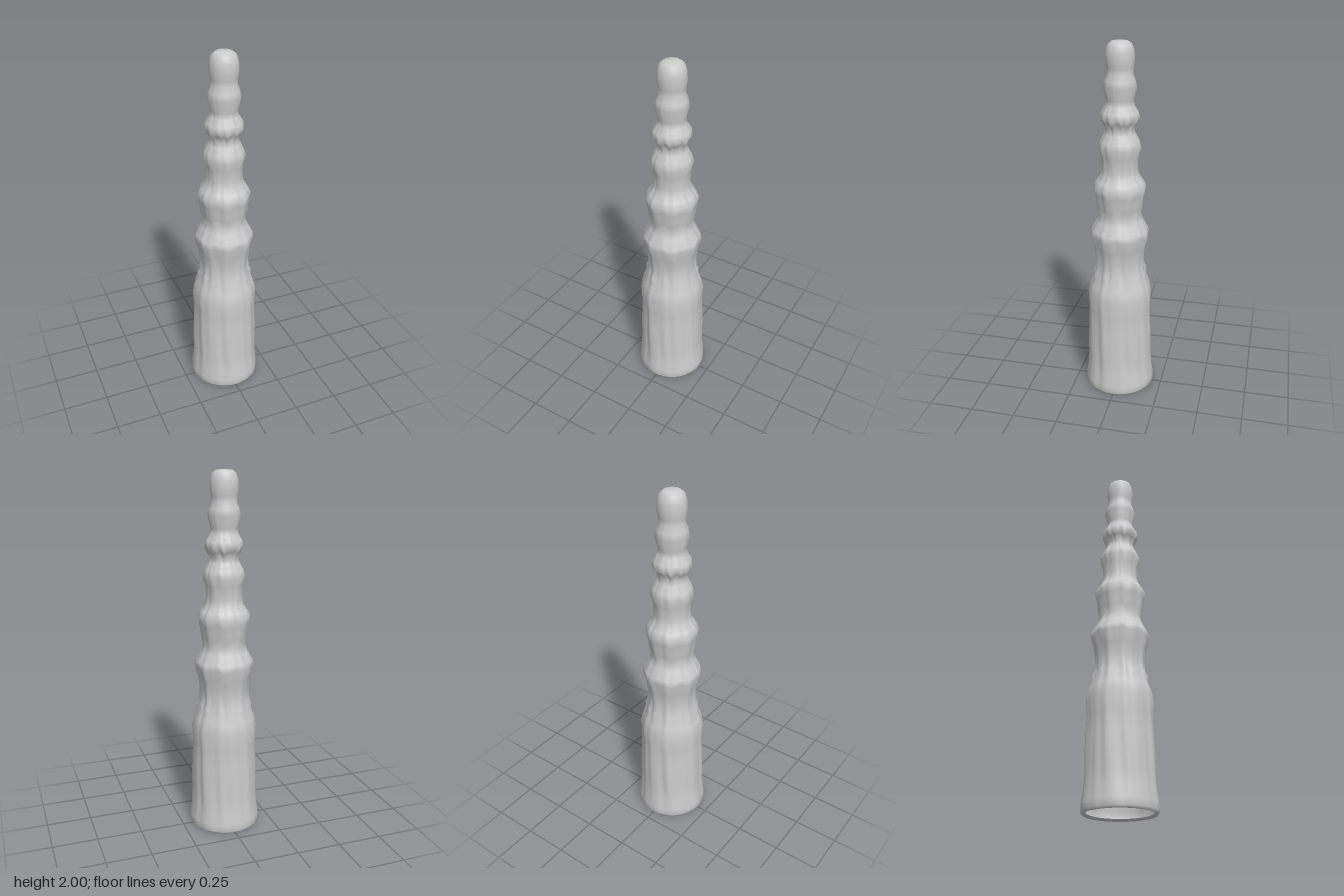
import * as THREE from 'three';
import { mergeVertices } from 'three/addons/utils/BufferGeometryUtils.js';

// Outline from the rolled base rim to the tip: [radius, height, ripple strength]
const PROFILE = [
  [0.172, 0.012, 0.1], [0.188, 0, 0.1], [0.198, 0.012, 0.3], [0.197, 0.05, 0.4], [0.187, 0.12, 0.6],
  [0.182, 0.2, 1], [0.182, 0.3, 1], [0.177, 0.4, 1], [0.174, 0.5, 0.8], [0.18, 0.59, 0.5],
  [0.166, 0.65, 0.5], [0.148, 0.695, 0.9], [0.147, 0.73, 1.2], [0.135, 0.75, 1.2], [0.134, 0.81, 1],
  [0.142, 0.88, 1], [0.161, 0.95, 0.9], [0.155, 0.98, 0.5], [0.128, 1.03, 0.3], [0.114, 1.07, 0.5],
  [0.124, 1.11, 1], [0.128, 1.15, 1], [0.135, 1.19, 1], [0.142, 1.23, 0.6], [0.125, 1.26, 0.4],
  [0.104, 1.29, 0.4], [0.096, 1.33, 0.7], [0.1, 1.4, 0.8], [0.114, 1.445, 0.7], [0.104, 1.48, 0.4],
  [0.083, 1.52, 0.3], [0.074, 1.55, 0.5], [0.09, 1.58, 0.9], [0.104, 1.605, 0.8], [0.098, 1.635, 0.4],
  [0.076, 1.67, 0.3], [0.071, 1.7, 0.4], [0.088, 1.765, 0.4], [0.081, 1.8, 0.3], [0.068, 1.835, 0.3],
  [0.07, 1.865, 0.2], [0.076, 1.9, 0.1], [0.074, 1.945, 0.1], [0.063, 1.98, 0], [0.043, 1.995, 0], [0, 2, 0],
];

// Periodic wobble around the axis; slowly shifts with height, in about -1..1
function wobble(angle, y, seed) {
  return 0.4 * Math.cos(8 * angle + seed + 1.5 * Math.sin(2 * y))
    + 0.35 * Math.cos(13 * angle + 2.1 * seed + 3 * Math.sin(1.7 * y))
    + 0.25 * Math.cos(21 * angle - 1.3 * seed + 2 * y);
}

export function createModel() {
  const group = new THREE.Group();
  group.name = 'taperedSpire';

  // Tiered hollow body, turned around y
  const points = PROFILE.map(([r, y]) => new THREE.Vector2(r, y));
  let geometry = new THREE.LatheGeometry(points, 72);
  const pos = geometry.attributes.position;
  for (let i = 0; i < pos.count; i++) {
    const [r, y, ripple] = PROFILE[i % PROFILE.length];
    if (r === 0) continue;
    const angle = Math.atan2(pos.getX(i), pos.getZ(i));
    // Vertical drip flutes plus ragged edges on each tier
    const radius = r * (1 + 0.038 * ripple * wobble(angle, y, 0.7));
    const sag = y > 0.55 && y < 1.7 ? 0.014 * ripple * wobble(angle, 0.3 * y, 4.2) : 0;
    pos.setXYZ(i, Math.sin(angle) * radius, y + sag, Math.cos(angle) * radius);
  }

  // Weld the seam so the shading runs smoothly around
  geometry.deleteAttribute('uv');
  geometry.deleteAttribute('normal');
  geometry = mergeVertices(geometry, 1e-5);
  geometry.computeVertexNormals();

  const body = new THREE.Mesh(geometry, new THREE.MeshStandardMaterial({ color: 0xcccccc, side: THREE.DoubleSide }));
  body.name = 'tieredBody';
  group.add(body);
  return group;
}
